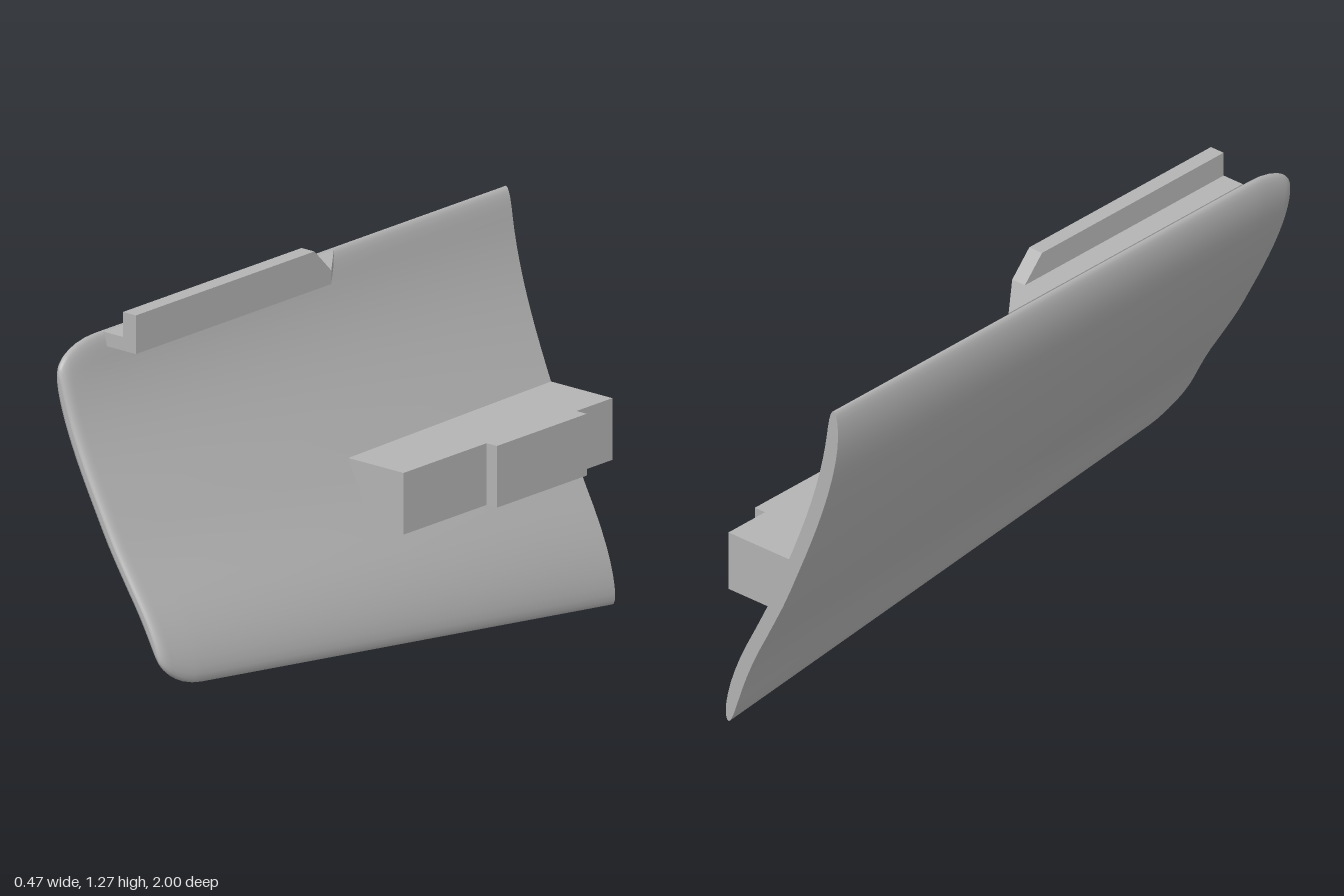
import * as THREE from 'three';

const grey = new THREE.MeshStandardMaterial({ color: 0xb4b4b4 });
grey.name = 'plain grey';

// S-shaped centre line of the panel: x at equal steps from bottom edge to top edge
const profile = new THREE.SplineCurve(
  [0.2, 0.172, 0.125, 0.064, 0.004, -0.048, -0.098, -0.143, -0.18, -0.205, -0.213]
    .map((x, i) => new THREE.Vector2(x, i / 10)));

const LEVELS = 28;
const RING = LEVELS * 2;

// Closed cross-section at a given z: up the inner side, down the outer side
function section(z) {
  const bottom = 0.118 * (z + 1);
  const fromFront = 1 - z;
  const k = Math.max(0, 1 - fromFront / 0.17);
  const inset = 0.09 * (1 - Math.sqrt(1 - k * k));
  const e = Math.max(0, 1 - fromFront / 0.03);
  const half = 0.025 * (0.3 + 0.7 * Math.sqrt(1 - e * e));
  const y0 = bottom + inset, y1 = 1.2 - inset;
  const points = [];
  for (let i = 0; i < RING; i++) {
    const j = i <= LEVELS ? i : RING - i;
    const side = i <= LEVELS ? 1 : -1;
    const v = 0.5 - 0.5 * Math.cos(Math.PI * j / LEVELS);
    const y = y0 + (y1 - y0) * v;
    const u = THREE.MathUtils.clamp((y - bottom) / (1.2 - bottom), 0, 1);
    const h = half * Math.sqrt(Math.max(0, 1 - Math.abs(2 * v - 1) ** 9));
    points.push(profile.getPoint(u).x + side * h, y, z);
  }
  return points;
}

function makeGeometry(positions, indices) {
  const g = new THREE.BufferGeometry();
  g.setAttribute('position', new THREE.Float32BufferAttribute(positions, 3));
  g.setIndex(indices);
  g.computeVertexNormals();
  return g;
}

// Skin lofted through the cross-sections
function panelSkin() {
  const stations = [-1, -0.75, -0.5, -0.25, 0, 0.25, 0.5, 0.7, 0.83, 0.87, 0.91,
    0.94, 0.96, 0.97, 0.98, 0.987, 0.993, 0.997, 1];
  const positions = stations.flatMap(section);
  const indices = [];
  for (let i = 0; i < stations.length - 1; i++) {
    for (let k = 0; k < RING; k++) {
      const a = i * RING + k, b = i * RING + (k + 1) % RING;
      indices.push(a, b, b + RING, a, b + RING, a + RING);
    }
  }
  return makeGeometry(positions, indices);
}

// Flat end of the panel
function panelCap(z, facesFront) {
  const indices = [];
  for (let j = 0; j < LEVELS; j++) {
    const a = j, b = j + 1, c = RING - j - 1, d = (RING - j) % RING;
    if (facesFront) indices.push(a, b, c, a, c, d);
    else indices.push(a, c, b, a, d, c);
  }
  return makeGeometry(section(z), indices);
}

function extrude(points, depth) {
  const shape = new THREE.Shape(points.map(([x, y]) => new THREE.Vector2(x, y)));
  return new THREE.ExtrudeGeometry(shape, { depth, bevelEnabled: false });
}

export function createModel() {
  const model = new THREE.Group();
  model.name = 'curvedPanel';
  const add = (name, geometry, parent = model) => {
    const mesh = new THREE.Mesh(geometry, grey);
    mesh.name = name;
    parent.add(mesh);
    return mesh;
  };

  // Curved panel
  const panel = new THREE.Group();
  panel.name = 'panel';
  model.add(panel);
  add('panelSkin', panelSkin(), panel);
  add('panelFrontEnd', panelCap(1, true), panel);
  add('panelBackEnd', panelCap(-1, false), panel);

  // Mounting block on the inner side, with a raised pad
  const block = extrude([[0.044, 0.445], [0.2, 0.445], [0.2, 0.635], [-0.046, 0.635]], 0.93);
  block.translate(0, 0, -1);
  add('mountingBlock', block);
  const pad = new THREE.BoxGeometry(0.04, 0.19, 0.4);
  pad.translate(0.22, 0.54, -0.64);
  add('mountingPad', pad);

  // Top clip: flat ledge (drawn in x and -z) with an upright lip (drawn in -z and y)
  const ledge = extrude([[-0.205, -0.8], [-0.08, -0.8], [-0.08, 0.07], [-0.205, 0.225]], 0.042);
  ledge.rotateX(-Math.PI / 2);
  ledge.translate(0, 1.156, 0);
  add('clipLedge', ledge);
  const lip = extrude([[-0.8, 1.156], [0.07, 1.156], [0.07, 1.198], [-0.005, 1.275], [-0.8, 1.275]], 0.05);
  lip.rotateY(Math.PI / 2);
  lip.translate(-0.13, 0, 0);
  add('clipLip', lip);

  return model;
}
